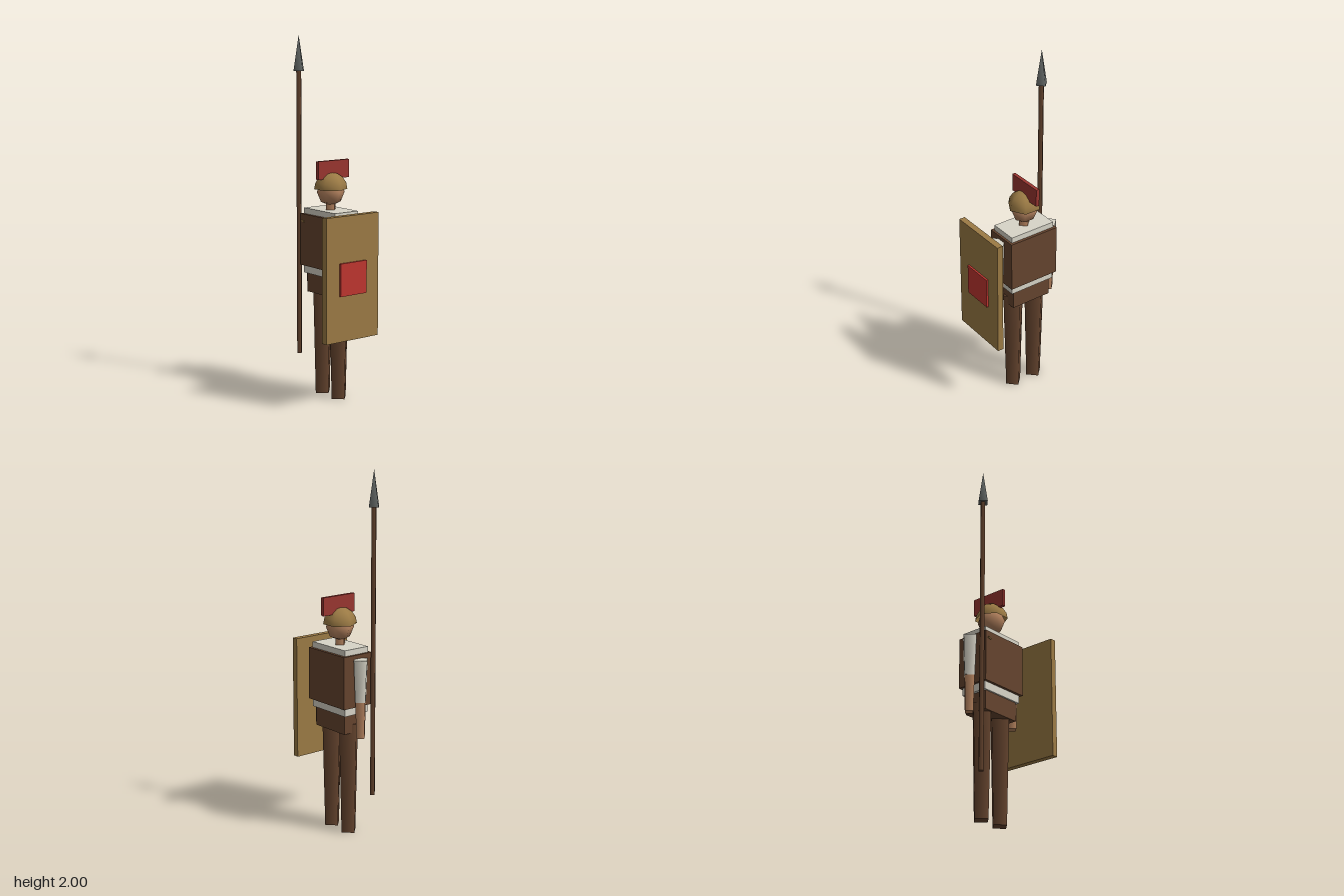
import * as THREE from 'three';

const paint = (name, color) => new THREE.MeshStandardMaterial({ name, color });

export function createModel() {
  const model = new THREE.Group();
  model.name = 'spearman';

  const leather = paint('brown leather', 0x65442e);
  const linen = paint('off-white linen', 0xd8d5c8);
  const skin = paint('skin', 0xb5835f);
  const bronze = paint('bronze', 0x9c7b45);
  bronze.side = THREE.DoubleSide; // the helmet is an open shell
  const steel = paint('dark steel', 0x5e6260);
  const crestRed = paint('crest red', 0x9a3630);
  const bossRed = paint('shield red', 0xc03630);

  const add = (name, geometry, material, x, y, z, parent = model) => {
    const mesh = new THREE.Mesh(geometry, material);
    mesh.name = name;
    mesh.position.set(x, y, z);
    parent.add(mesh);
    return mesh;
  };
  // box given by its low and high corners
  const box = (name, material, lo, hi, parent) =>
    add(name, new THREE.BoxGeometry(hi[0] - lo[0], hi[1] - lo[1], hi[2] - lo[2]), material,
      (lo[0] + hi[0]) / 2, (lo[1] + hi[1]) / 2, (lo[2] + hi[2]) / 2, parent);
  // four-sided tapered post from y0 to y1
  const post = (name, material, rTop, rBottom, y0, y1, x, z, parent) =>
    add(name, new THREE.CylinderGeometry(rTop, rBottom, y1 - y0, 4), material, x, (y0 + y1) / 2, z, parent);

  // body, built around its own centre line
  const body = new THREE.Group();
  body.name = 'body';
  body.position.set(-0.026, 0, -0.059);
  model.add(body);

  box('tunic', linen, [-0.138, 0.688, -0.08], [0.138, 1.053, 0.08], body);
  box('cuirass', leather, [-0.151, 0.732, -0.096], [0.151, 1.021, 0.096], body);
  box('belt', leather, [-0.122, 0.582, -0.07], [0.122, 0.69, 0.07], body);

  for (const [side, s] of [['left', 1], ['right', -1]]) {
    post(side + 'Leg', leather, 0.067, 0.05, 0, 0.63, s * 0.072, 0, body);
    post(side + 'Sleeve', linen, 0.049, 0.038, 0.768, 1.0, s * 0.173, 0, body);
    post(side + 'Forearm', skin, 0.037, 0.03, 0.565, 0.768, s * 0.173, 0, body);
  }

  // head and helmet
  post('neck', skin, 0.033, 0.033, 1.03, 1.1, 0, 0, body);
  add('head', new THREE.SphereGeometry(0.077, 6, 4), skin, 0, 1.15, 0, body);
  add('helmet', new THREE.SphereGeometry(0.092, 6, 4, 0, Math.PI * 2, 0, Math.PI / 2), bronze, 0, 1.166, 0, body);
  box('helmetCrest', crestRed, [-0.036, 1.223, -0.18], [-0.016, 1.323, 0.034]);

  // strap ends on the cuirass
  const clasp = box('shoulderClasp', bronze, [-0.16, 0.977, 0.035], [-0.138, 0.985, 0.042]);
  clasp.rotation.z = -0.2;
  box('strapEnd', leather, [0.12, 0.935, 0.018], [0.131, 0.955, 0.03]);

  // shield on the left arm
  box('shield', bronze, [0.201, 0.378, -0.18], [0.236, 1.058, 0.178]);
  box('shieldBoss', bossRed, [0.235, 0.628, -0.09], [0.247, 0.807, 0.089]);

  // spear by the right hand
  post('spearShaft', leather, 0.017, 0.017, 0.22, 1.81, -0.199, 0.028);
  add('spearHead', new THREE.ConeGeometry(0.036, 0.196, 4), steel, -0.199, 1.902, 0.028);

  return model;
}
